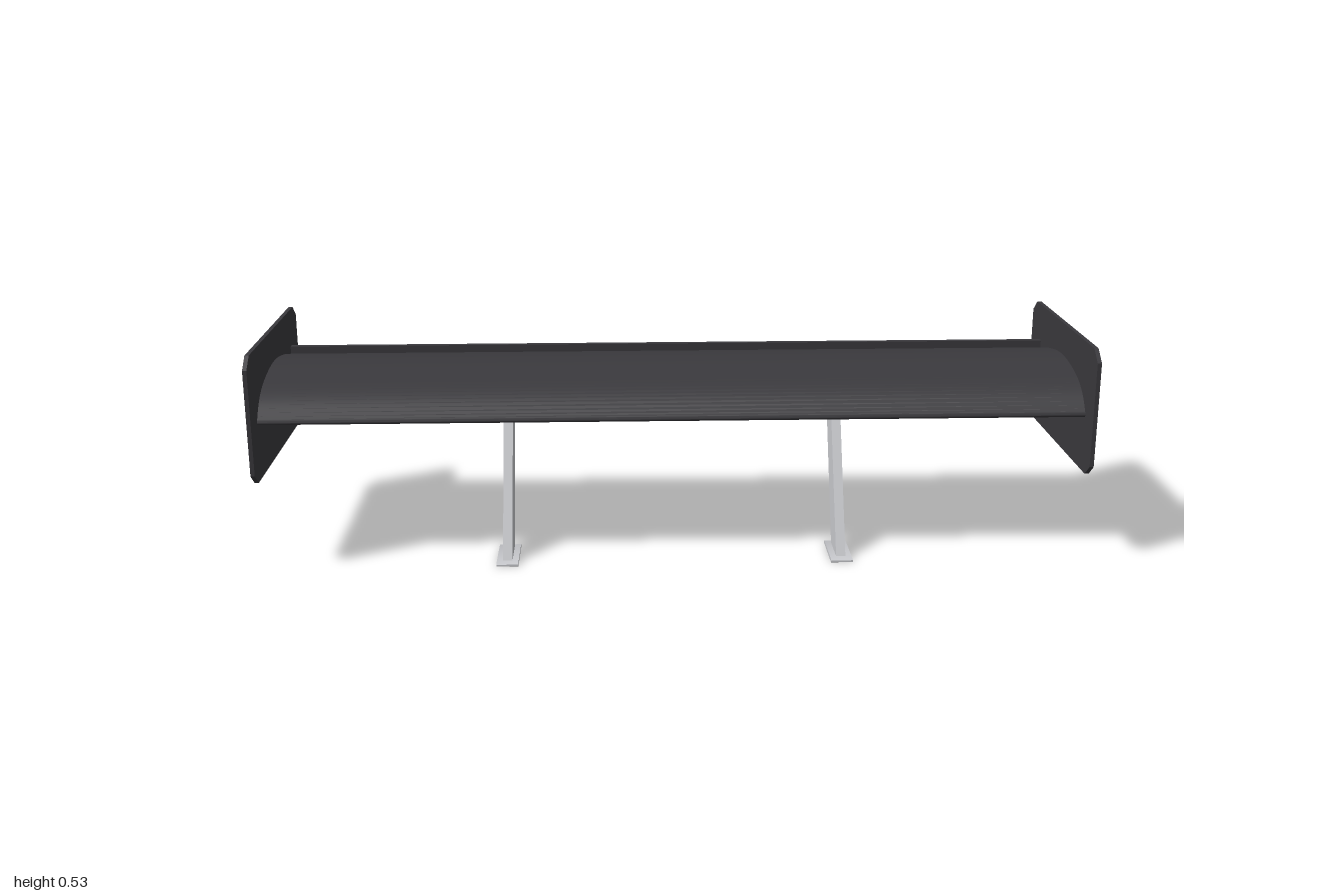
import * as THREE from 'three';
import { toCreasedNormals } from 'three/addons/utils/BufferGeometryUtils.js';

const black = new THREE.MeshStandardMaterial({ color: 0x3a393d });
black.name = 'satin black';
const silver = new THREE.MeshStandardMaterial({ color: 0xc9cace });
silver.name = 'brushed silver';

// Side outline given as [z, y] points, extruded across x and centred on x = 0
const pt = ([z, y]) => new THREE.Vector2(-z, y);
function sideExtrude(points, width) {
  const geo = new THREE.ExtrudeGeometry(new THREE.Shape(points), {
    depth: width, bevelEnabled: false,
  });
  geo.translate(0, 0, -width / 2);
  geo.rotateY(Math.PI / 2);
  return toCreasedNormals(geo, 0.6);
}

function part(name, geo, material, x = 0) {
  const mesh = new THREE.Mesh(geo, material);
  mesh.name = name;
  mesh.position.x = x;
  return mesh;
}

export function createModel() {
  const model = new THREE.Group();
  model.name = 'rearWing';

  // Cambered blade: arched top, rounded nose, nearly straight rising underside
  const top = new THREE.SplineCurve([
    [0.224, 0.354], [0.232, 0.358], [0.229, 0.369], [0.195, 0.406], [0.14, 0.434],
    [0.05, 0.452], [-0.03, 0.454], [-0.12, 0.441], [-0.206, 0.421],
  ].map(pt)).getPoints(40);
  const under = new THREE.SplineCurve([
    [-0.206, 0.414], [-0.1, 0.391], [0, 0.374], [0.1, 0.363], [0.224, 0.354],
  ].map(pt)).getPoints(16);
  const blade = sideExtrude([...top, ...under.slice(0, -1)], 1.984);
  model.add(part('wingBlade', blade, black));

  // Low upright lip along the trailing edge
  const lip = new THREE.BoxGeometry(1.984, 0.027, 0.015);
  lip.translate(0, 0.4275, -0.2105);
  model.add(part('trailingLip', lip, black));

  // Parts mirrored to both ends
  const endPlate = sideExtrude([
    [0.297, 0.25], [0.297, 0.506], [0.262, 0.534], [-0.262, 0.534],
    [-0.297, 0.506], [-0.297, 0.25], [-0.262, 0.222], [0.262, 0.222],
  ].map(pt), 0.01);
  const strut = sideExtrude([
    [0.24, 0.006], [0.145, 0.006], [-0.026, 0.352], [0.064, 0.352],
  ].map(pt), 0.023);
  const foot = sideExtrude([
    [0.26, 0], [0.263, 0.002], [0.263, 0.006], [0.26, 0.008],
    [0.13, 0.008], [0.127, 0.006], [0.127, 0.002], [0.13, 0],
  ].map(pt), 0.053);

  for (const [side, s] of [['left', 1], ['right', -1]]) {
    model.add(part(side + 'EndPlate', endPlate, black, s * 0.995));
    const support = new THREE.Group();
    support.name = side + 'Support';
    support.position.x = s * 0.408;
    support.add(part('strut', strut, silver), part('foot', foot, silver));
    model.add(support);
  }
  return model;
}
